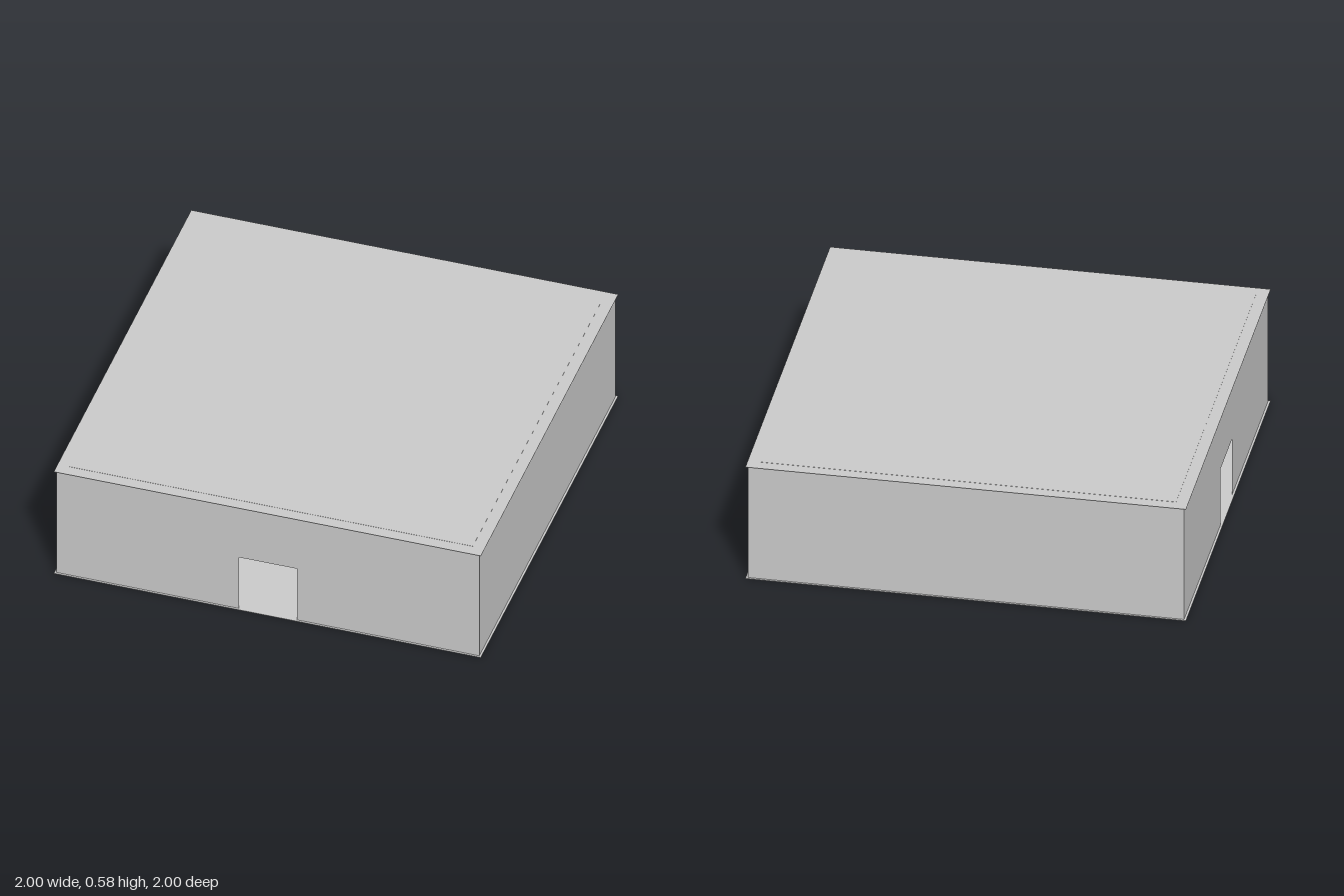
import * as THREE from 'three';

const HEIGHT = 0.576; // overall height
const SLAB = 0.002; // thickness of floor and roof sheets
const WALL = 1.98; // wall length, slightly inside the slabs
const DOOR_W = 0.27, DOOR_H = 0.29;

export function createModel() {
  const model = new THREE.Group();
  model.name = 'building';
  const material = new THREE.MeshStandardMaterial({ color: 0xcccccc, flatShading: true, side: THREE.DoubleSide });

  const add = (name, geometry) => {
    const mesh = new THREE.Mesh(geometry, material);
    mesh.name = name;
    model.add(mesh);
    return mesh;
  };

  // Thin square sheet lying at height y (its underside)
  const slab = (name, size, y) => {
    add(name, new THREE.BoxGeometry(size, SLAB, size)).position.y = y + SLAB / 2;
  };

  // Single-surface wall, optionally with a centred doorway down to the floor
  const wall = (name, angle, hasDoor) => {
    const w = WALL / 2, d = DOOR_W / 2;
    const bottom = SLAB / 2, top = HEIGHT - SLAB;
    const points = [[-w, bottom]];
    if (hasDoor) points.push([-d, bottom], [-d, DOOR_H], [d, DOOR_H], [d, bottom]);
    points.push([w, bottom], [w, top], [-w, top]);
    const shape = new THREE.Shape(points.map(([x, y]) => new THREE.Vector2(x, y)));
    const geometry = new THREE.ShapeGeometry(shape);
    geometry.translate(0, 0, w);
    geometry.rotateY(angle);
    add(name, geometry);
  };

  // Floor and overhanging roof, with a barely raised inner roof panel
  slab('floor', 2, 0);
  slab('roof', 2, HEIGHT - 1.5 * SLAB);
  slab('roofPanel', 1.89, HEIGHT - SLAB);

  // Four walls; doorways at the front and on the -x side
  wall('frontWall', 0, true);
  wall('leftWall', Math.PI / 2, false);
  wall('backWall', Math.PI, false);
  wall('rightWall', -Math.PI / 2, true);

  return model;
}
